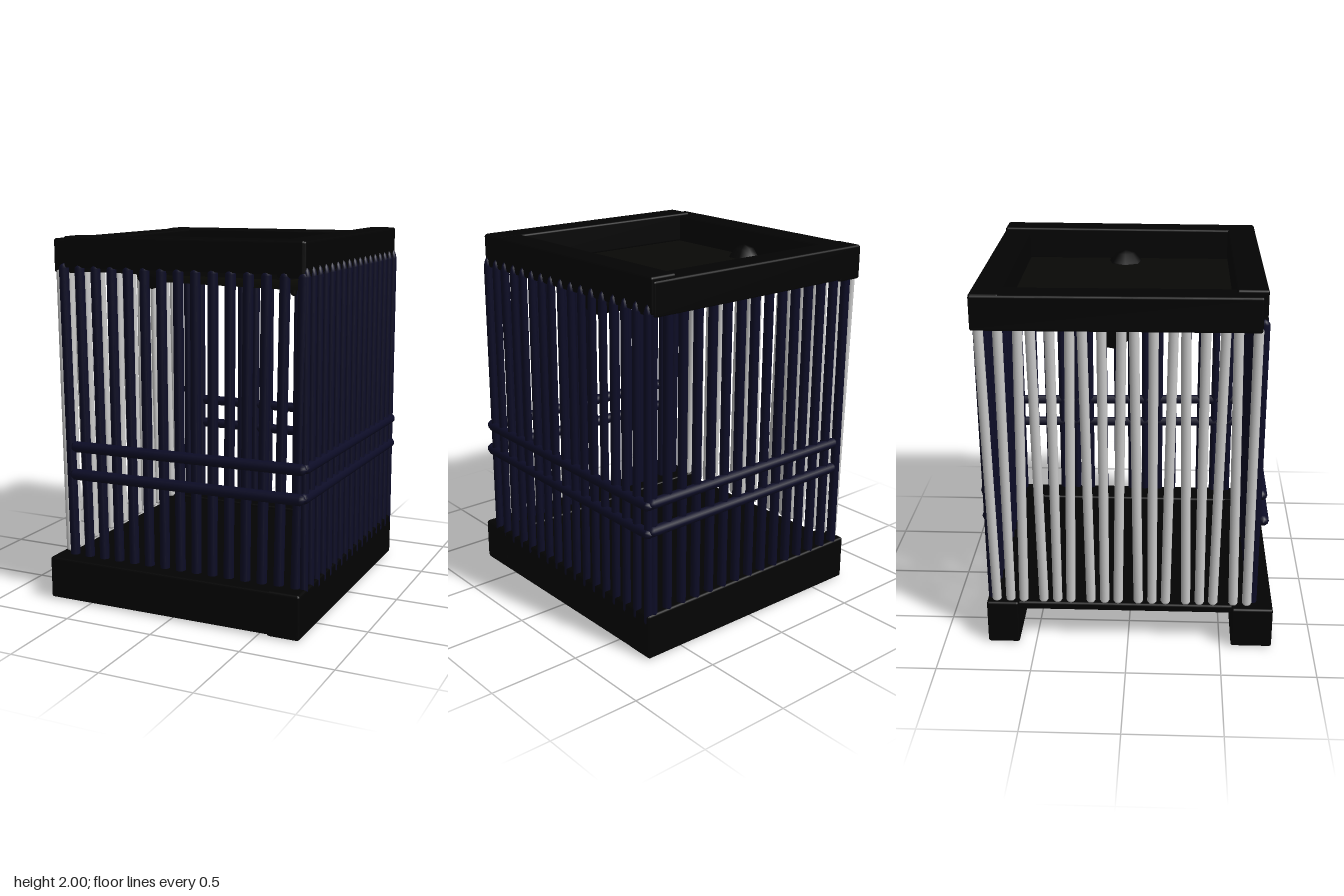
import * as THREE from 'three';
import { RoundedBoxGeometry } from 'three/addons/geometries/RoundedBoxGeometry.js';

export function createModel() {
  const model = new THREE.Group();
  model.name = 'cage';

  const mat = (color) => new THREE.MeshStandardMaterial({ color });
  const frameMat = mat(0x030303);
  const barMat = mat(0x0c0c26);
  const roofMat = mat(0x080806);
  const perchMat = mat(0x16160b);
  const greyMat = mat(0xcccccc);

  const group = (name) => {
    const g = new THREE.Group();
    g.name = name;
    model.add(g);
    return g;
  };

  const add = (parent, name, geometry, material) => {
    const m = new THREE.Mesh(geometry, material);
    m.name = name;
    parent.add(m);
    return m;
  };

  // Beam given by its extents, with a slight hand-made tilt
  const beam = (parent, name, x0, x1, y0, y1, z0, z1, tiltX = 0, tiltZ = 0) => {
    const g = new RoundedBoxGeometry(x1 - x0, y1 - y0, z1 - z0, 2, 0.012);
    const m = add(parent, name, g, frameMat);
    m.position.set((x0 + x1) / 2, (y0 + y1) / 2, (z0 + z1) / 2);
    m.rotation.set(tiltX, 0, tiltZ);
  };

  // Round rod with pointed ends between two points
  const rod = (parent, name, a, b, r, material, tip = r * 0.9) => {
    const start = new THREE.Vector3(...a);
    const dir = new THREE.Vector3(...b).sub(start);
    const L = dir.length();
    const profile = [[0, 0], [r * 0.65, tip * 0.35], [r, tip], [r, L - tip], [r * 0.65, L - tip * 0.35], [0, L]];
    const g = new THREE.LatheGeometry(profile.map((p) => new THREE.Vector2(...p)), 10);
    const m = add(parent, name, g, material);
    m.position.copy(start);
    m.quaternion.setFromUnitVectors(new THREE.Vector3(0, 1, 0), dir.normalize());
    return m;
  };

  // Base: three beams, open on the right-hand side, with a raised floor
  const base = group('base');
  beam(base, 'frontBaseBeam', -0.742, 0.728, 0.012, 0.243, 0.56, 0.78, 0, 0.003);
  beam(base, 'backBaseBeam', -0.735, 0.722, 0.004, 0.252, -0.762, -0.59, 0, 0.003);
  beam(base, 'leftBaseBeam', 0.55, 0.725, 0.008, 0.25, -0.76, 0.778, 0.004);
  beam(base, 'floor', -0.7, 0.6, 0.19, 0.235, -0.7, 0.65);

  // Top frame around the sunken roof
  const top = group('topFrame');
  beam(top, 'frontTopBeam', -0.66, 0.695, 1.825, 1.99, 0.53, 0.688, 0, 0.006);
  beam(top, 'backTopBeam', -0.735, 0.69, 1.8, 1.975, -0.77, -0.62, 0, 0.004);
  beam(top, 'leftTopBeam', 0.55, 0.702, 1.815, 1.995, -0.765, 0.685, 0.004);
  beam(top, 'rightTopBeam', -0.74, -0.585, 1.79, 1.97, -0.77, 0.66, -0.003);
  const roof = add(top, 'roof', new THREE.BoxGeometry(1.2, 0.03, 1.22), roofMat);
  roof.position.set(-0.02, 1.808, -0.04);

  // Vertical bars: front, back, left side, and the pale bars on the right side
  const front = group('frontBars');
  const back = group('backBars');
  for (let i = 0; i < 15; i++) {
    const x = -0.66 + i * 0.0955;
    const lean = 0.012 * (1 - i / 7);
    rod(front, 'frontBar', [x + lean, 0.21, 0.67], [x - lean, 1.845, 0.67], 0.027, barMat);
    rod(back, 'backBar', [x, 0.21, -0.735], [x, 1.84, -0.742], 0.025, barMat);
  }
  const left = group('leftBars');
  const right = group('rightBars');
  for (let i = 0; i < 17; i++) {
    const z = 0.665 - i * 0.0875;
    rod(left, 'leftBar', [0.707, 0.165, z], [0.699, 1.87, z], 0.022, barMat, 0.05);
    const paleZ = 0.64 - i * 0.085;
    const sway = 0.014 * Math.sin(i * 2.1);
    const pale = rod(right, 'rightBar', [-0.699, 0.24, paleZ + sway], [-0.713, 1.82, paleZ - sway], 0.021, greyMat);
    pale.scale.z = 1.2;
  }

  // Paired horizontal rails on the three barred sides
  const rails = group('rails');
  for (const [y, z] of [[0.865, 0.7], [0.715, 0.715]]) {
    rod(rails, 'frontRail', [-0.635, y - 0.005, z], [0.73, y + 0.01, z], 0.03, barMat);
    rod(rails, 'leftRail', [0.71, y + 0.01, z], [0.71, y - 0.01, -0.77], 0.028, barMat);
    rod(rails, 'backRail', [-0.64, y, -0.75], [0.72, y, -0.75], 0.029, barMat);
  }

  // Perch under the roof, with a faceted knob at each end and two small pegs
  const perch = group('perch');
  rod(perch, 'perchRod', [-0.56, 1.755, -0.09], [0.5, 1.742, -0.06], 0.068, perchMat);
  for (const [x, z] of [[-0.552, -0.072], [0.477, -0.06]]) {
    const knob = add(perch, 'perchKnob', new THREE.SphereGeometry(0.112, 7, 6), frameMat);
    knob.scale.set(0.9, 1.1, 0.95);
    knob.position.set(x, 1.768, z);
  }
  for (const x of [-0.05, 0.345]) {
    rod(perch, 'peg', [x, 1.645, -0.06], [x, 1.78, -0.06], 0.018, frameMat);
  }

  return model;
}
